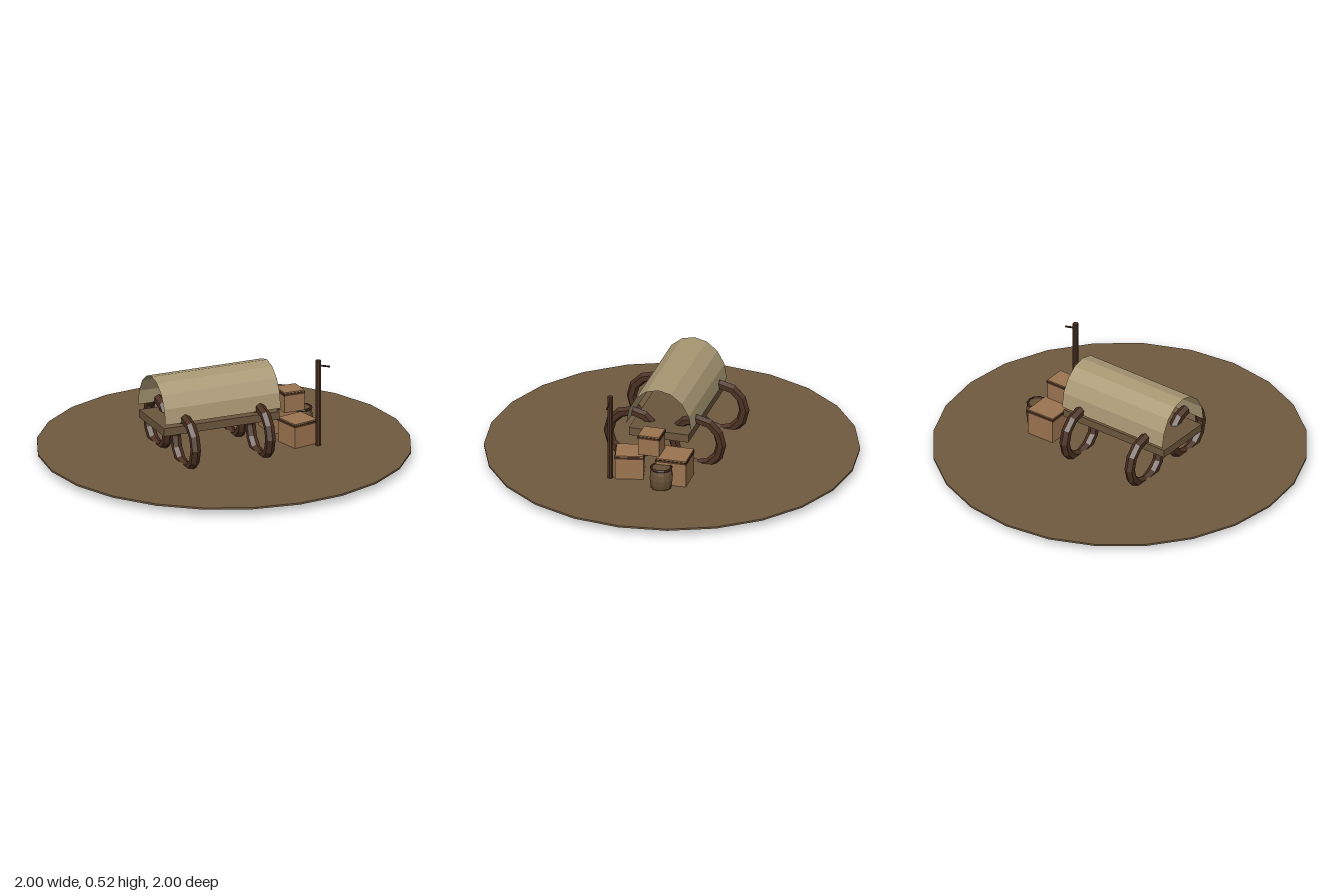
import * as THREE from 'three';

const mat = (name, color, side = THREE.FrontSide) =>
  new THREE.MeshStandardMaterial({ name, color, side, flatShading: true });

export function createModel() {
  const earth = mat('earth', 0x6f5a40);
  const plank = mat('plank', 0x6b563c);
  const darkWood = mat('dark wood', 0x4a3020);
  const crateWood = mat('crate wood', 0x9c7450);
  const barrelWood = mat('barrel wood', 0x665036);
  const canvas = mat('canvas', 0xa89873, THREE.DoubleSide);

  const root = new THREE.Group();
  root.name = 'wagonCamp';

  const add = (parent, name, geometry, material, x = 0, y = 0, z = 0) => {
    const mesh = new THREE.Mesh(geometry, material);
    mesh.name = name;
    mesh.position.set(x, y, z);
    parent.add(mesh);
    return mesh;
  };
  const group = (name, x = 0, y = 0, z = 0) => {
    const g = new THREE.Group();
    g.name = name;
    g.position.set(x, y, z);
    root.add(g);
    return g;
  };

  // Ground disc
  add(root, 'ground', new THREE.CylinderGeometry(1, 1, 0.01, 24), earth, 0, 0.042, 0);

  // Wagon bed
  const wagon = group('wagon', -0.085, 0, 0);
  add(wagon, 'bed', new THREE.BoxGeometry(0.67, 0.044, 0.33), plank, 0, 0.229, 0);

  // Canvas cover: open half tube, stretched upwards
  const cover = new THREE.CylinderGeometry(0.18, 0.18, 0.67, 8, 1, true, 0, Math.PI);
  cover.rotateZ(Math.PI / 2);
  cover.scale(1, 1.2, 1);
  add(wagon, 'canvasCover', cover, canvas, 0, 0.275, 0);

  // Wheels
  const wheel = new THREE.TorusGeometry(0.132, 0.028, 6, 12).rotateY(Math.PI / 2);
  for (const x of [-0.217, 0.217]) {
    for (const z of [-0.18, 0.18]) add(wagon, 'wheel', wheel, darkWood, x, 0.16, z);
  }

  // Crates, each with a dark band under the lid
  const crates = [
    { x: 0.375, z: -0.127, y: 0.032, w: 0.164, h: 0.164, turn: 0.02 },
    { x: 0.375, z: 0.122, y: 0.032, w: 0.15, h: 0.15, turn: 0.23 },
    { x: 0.383, z: 0, y: 0.197, w: 0.116, h: 0.113, turn: 0 },
  ];
  for (const { x, y, z, w, h, turn } of crates) {
    const crate = group('crate', x, y, z);
    crate.rotation.y = turn;
    add(crate, 'crateBox', new THREE.BoxGeometry(w, h, w), crateWood, 0, h / 2, 0);
    add(crate, 'crateBand', new THREE.BoxGeometry(w + 0.007, 0.012, w + 0.007), darkWood, 0, h - 0.013, 0);
  }

  // Barrel with hoops at both ends
  const barrel = group('barrel', 0.485, 0.042, -0.083);
  const profile = [[0, 0], [0.052, 0], [0.06, 0.03], [0.063, 0.06], [0.06, 0.09], [0.052, 0.12], [0, 0.12]]
    .map(([r, y]) => new THREE.Vector2(r, y));
  add(barrel, 'barrelBody', new THREE.LatheGeometry(profile, 12), barrelWood);
  const hoop = new THREE.TorusGeometry(0.054, 0.007, 6, 12).rotateX(Math.PI / 2);
  for (const y of [0, 0.118]) add(barrel, 'barrelHoop', hoop, darkWood, 0, y, 0);

  // Post with a short drooping peg
  const post = group('post', 0.455, 0, 0.208);
  add(post, 'pole', new THREE.CylinderGeometry(0.015, 0.016, 0.49, 8), darkWood, 0, 0.28, 0);
  const peg = add(post, 'peg', new THREE.CylinderGeometry(0.005, 0.005, 0.068, 6), darkWood, 0.034, 0.488, 0);
  peg.rotation.z = Math.PI / 2 - 0.25;

  return root;
}
